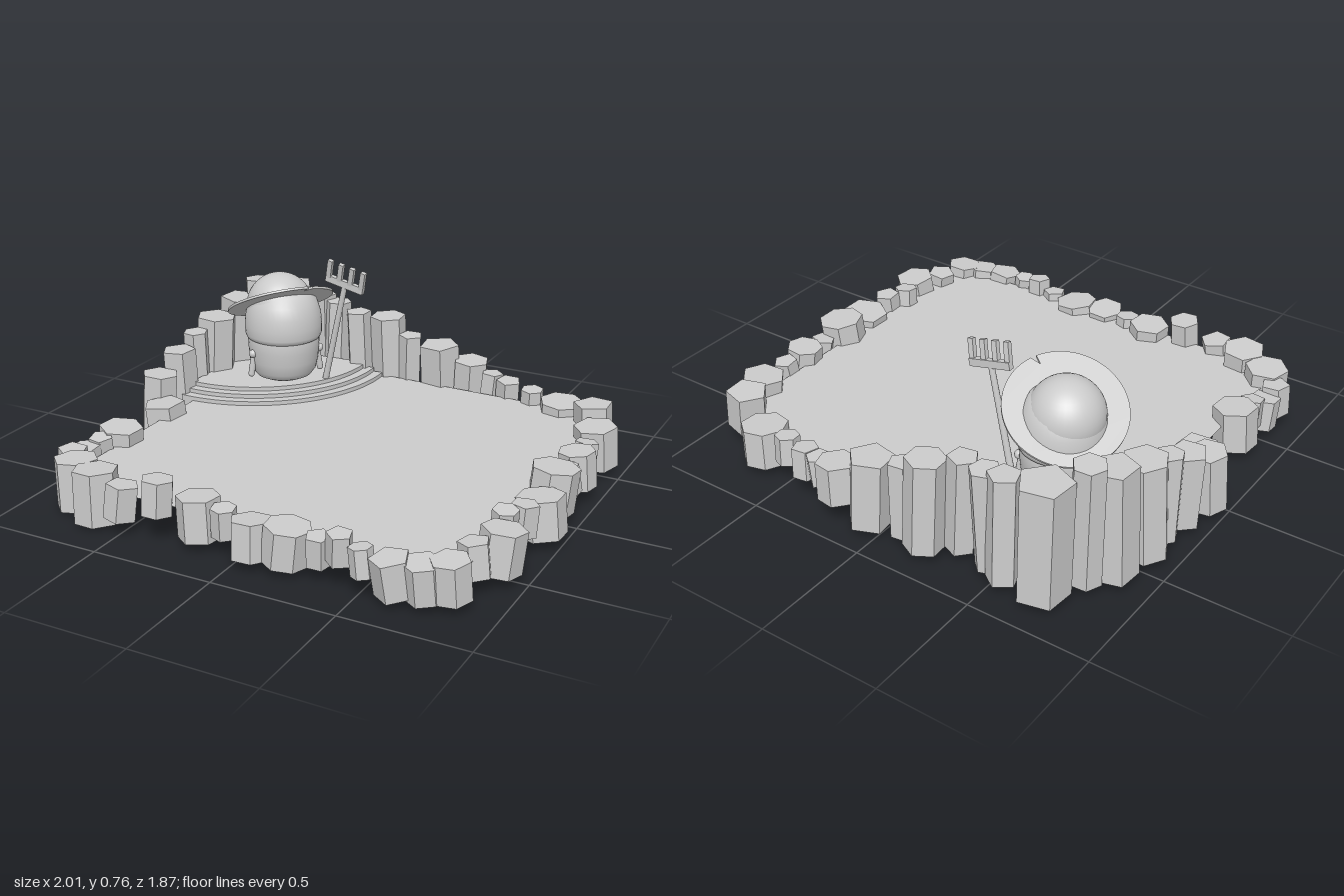
import * as THREE from 'three';
import { mergeGeometries } from 'three/addons/utils/BufferGeometryUtils.js';

const mat = new THREE.MeshStandardMaterial({ color: 0xcccccc });
const thin = new THREE.MeshStandardMaterial({ color: 0xcccccc, side: THREE.DoubleSide });
const flat = new THREE.MeshStandardMaterial({ color: 0xcccccc, side: THREE.DoubleSide, flatShading: true });
const UP = new THREE.Vector3(0, 1, 0);

function add(parent, name, geometry, material = mat, x = 0, y = 0, z = 0) {
  const mesh = new THREE.Mesh(geometry, material);
  mesh.name = name;
  mesh.position.set(x, y, z);
  parent.add(mesh);
  return mesh;
}

function seeded(seed) {
  return () => (seed = (seed * 16807) % 2147483647) / 2147483647;
}

// Border rocks: x, z, radius, top height, sides
const backRocks = [
  [-0.70, -0.82, 0.105, 0.51, 5], [-0.54, -0.83, 0.065, 0.48, 5], [-0.45, -0.82, 0.06, 0.46, 6],
  [-0.33, -0.78, 0.06, 0.44, 5], [-0.21, -0.84, 0.08, 0.42, 6], [-0.09, -0.83, 0.055, 0.35, 5],
  [0.045, -0.84, 0.09, 0.325, 5], [0.19, -0.87, 0.08, 0.265, 6], [0.30, -0.85, 0.05, 0.23, 5],
  [0.39, -0.82, 0.055, 0.22, 5], [0.51, -0.79, 0.05, 0.21, 6], [0.655, -0.765, 0.095, 0.19, 7],
];
const rightRocks = [
  [0.82, -0.68, 0.085, 0.24, 5], [0.885, -0.52, 0.09, 0.21, 6], [0.90, -0.375, 0.05, 0.2, 5],
  [0.90, -0.25, 0.075, 0.21, 7], [0.90, -0.13, 0.05, 0.19, 5], [0.90, -0.015, 0.095, 0.235, 7],
  [0.905, 0.16, 0.095, 0.19, 6], [0.90, 0.30, 0.055, 0.215, 5], [0.86, 0.39, 0.05, 0.22, 6],
  [0.905, 0.51, 0.085, 0.21, 6], [0.84, 0.63, 0.06, 0.2, 5], [0.815, 0.775, 0.075, 0.19, 6],
];
const frontRocks = [
  [0.73, 0.82, 0.07, 0.18, 6], [0.62, 0.84, 0.075, 0.18, 5], [0.505, 0.83, 0.045, 0.19, 6],
  [0.42, 0.82, 0.05, 0.215, 5], [0.33, 0.81, 0.05, 0.18, 5], [0.20, 0.79, 0.09, 0.18, 7],
  [0.055, 0.805, 0.08, 0.18, 6], [-0.07, 0.79, 0.05, 0.19, 6], [-0.195, 0.765, 0.085, 0.2, 6],
  [-0.345, 0.80, 0.065, 0.25, 6], [-0.495, 0.81, 0.065, 0.2, 5], [-0.645, 0.78, 0.09, 0.22, 6],
  [-0.785, 0.715, 0.09, 0.21, 6],
];
const leftRocks = [
  [-0.865, 0.63, 0.06, 0.2, 5], [-0.865, 0.55, 0.06, 0.18, 6], [-0.84, 0.48, 0.05, 0.2, 5],
  [-0.815, 0.375, 0.09, 0.21, 6], [-0.825, 0.06, 0.09, 0.2, 5], [-0.915, -0.055, 0.08, 0.28, 6],
  [-0.905, -0.185, 0.075, 0.35, 5], [-0.89, -0.30, 0.055, 0.4, 6], [-0.86, -0.43, 0.09, 0.44, 6],
  [-0.83, -0.59, 0.09, 0.49, 5], [-0.80, -0.70, 0.065, 0.55, 6],
];

// Prism with a closed top and an open underside, hanging down from its top centre
function rockGeometry(r, h, sides) {
  const wall = new THREE.CylinderGeometry(r, r, h, sides, 1, true).translate(0, -h / 2, 0);
  const cap = new THREE.CircleGeometry(r, sides, -Math.PI / 2).rotateX(-Math.PI / 2);
  return mergeGeometries([wall, cap]);
}

function createBorder() {
  const border = new THREE.Group();
  border.name = 'rockBorder';
  const rand = seeded(4711);
  for (const [x, z, r, top, sides] of [...backRocks, ...rightRocks, ...frontRocks, ...leftRocks]) {
    // Small low rocks are short; tall ones and the near-left corner reach the bottom
    let bottom = 0.035;
    if (top < 0.27) bottom = Math.max(0.035, top - 0.05 - 1.35 * r);
    if (x < -0.6 && z > 0.7) bottom = 0.01;
    const h = top - bottom;
    const geo = rockGeometry(r, h, sides).rotateY(rand() * 6.28);
    const rock = add(border, 'rock', geo, flat, x, top - 0.005, z);
    const tilt = 0.035 / h;
    rock.rotation.set((rand() - 0.5) * tilt, 0, (rand() - 0.5) * tilt);
  }
  return border;
}

// Quarter-round tiers in the corner, hollow underneath
function createSteps(groundY) {
  const steps = new THREE.Group();
  steps.name = 'cornerSteps';
  const base = 0.03, spread = Math.PI / 2 + 0.12;
  [0.615, 0.575, 0.535].forEach((r, i) => {
    const h = groundY + 0.018 * (i + 1) - base;
    const riser = new THREE.CylinderGeometry(r, r, h, 40, 1, true, -0.06, spread);
    add(steps, 'riser', riser, thin, -0.82, base + h / 2, -0.74);
    const tread = new THREE.CircleGeometry(r, 40, -Math.PI / 2 - 0.06, spread).rotateX(-Math.PI / 2);
    add(steps, 'tread', tread, thin, -0.82, base + h, -0.74);
  });
  return steps;
}

// Tilted hat with a small tear in the brim
function createHat() {
  const hat = new THREE.Group();
  hat.name = 'hat';
  const brim = new THREE.Shape();
  brim.absarc(0, 0, 0.232, -0.36, Math.PI * 2 - 0.46, false);
  brim.lineTo(0.175, -0.085);
  brim.closePath();
  const geo = new THREE.ExtrudeGeometry(brim, { depth: 0.01, bevelEnabled: false, curveSegments: 48 });
  geo.rotateX(-Math.PI / 2);
  add(hat, 'brim', geo, mat, 0, -0.005, 0);
  hat.quaternion.setFromUnitVectors(UP, new THREE.Vector3(-0.38, 0.868, -0.32).normalize());
  hat.position.set(-0.545, 0.54, -0.457);
  return hat;
}

function createFigure() {
  const figure = new THREE.Group();
  figure.name = 'figure';
  const lathe = (pts) => new THREE.LatheGeometry(pts.map(([r, y]) => new THREE.Vector2(r, y)), 40);

  // Rounded lower garment
  add(figure, 'lowerBody', lathe([[0, 0.2], [0.09, 0.205], [0.122, 0.22], [0.14, 0.245], [0.15, 0.29],
    [0.155, 0.34], [0.157, 0.385], [0.15, 0.395]]));
  // Upper body continuing into the head
  add(figure, 'upperBody', lathe([[0.148, 0.385], [0.161, 0.392], [0.168, 0.41], [0.169, 0.45], [0.164, 0.5],
    [0.148, 0.55], [0.12, 0.59], [0.07, 0.62], [0, 0.63]]));
  // Little arms, facing the middle of the garden
  const arms = new THREE.Group();
  arms.name = 'arms';
  arms.rotation.y = Math.PI / 4;
  for (const side of [-1, 1]) {
    const arm = add(arms, 'arm', new THREE.CapsuleGeometry(0.014, 0.08, 6, 12), mat, side * 0.15, 0.275, 0.03);
    arm.rotation.z = side * 0.15;
    add(arms, 'hand', new THREE.SphereGeometry(0.018, 14, 10), mat, side * 0.15, 0.33, 0.04);
  }
  figure.add(arms);
  figure.position.set(-0.532, 0, -0.457);
  return figure;
}

// Rake standing on its handle, tines upward
function createRake() {
  const rake = new THREE.Group();
  rake.name = 'rake';
  add(rake, 'handle', new THREE.CylinderGeometry(0.012, 0.014, 0.47, 10), mat, 0, 0.235, 0);
  add(rake, 'crossbar', new THREE.BoxGeometry(0.18, 0.03, 0.024), mat, 0, 0.465, 0);
  for (let i = 0; i < 4; i++) {
    const tine = add(rake, 'tine', new THREE.BoxGeometry(0.022, 0.085, 0.02), mat, (i - 1.5) * 0.053, 0.51, 0.008);
    tine.rotation.x = 0.15;
  }
  rake.position.set(-0.355, 0.195, -0.515);
  rake.rotation.set(0.03, 0, -0.225);
  return rake;
}

export function createModel() {
  const model = new THREE.Group();
  model.name = 'rockGarden';
  const groundY = 0.145;

  // Flat sand bed with trimmed corners
  const outline = [[-0.8, -0.66], [-0.68, -0.8], [0.72, -0.78], [0.86, -0.62], [0.86, 0.7], [0.78, 0.8],
    [-0.68, 0.8], [-0.8, 0.7]].map(([x, z]) => new THREE.Vector2(x, -z));
  const ground = new THREE.ShapeGeometry(new THREE.Shape(outline)).rotateX(-Math.PI / 2);
  add(model, 'sandBed', ground, thin, 0, groundY, 0);

  model.add(createBorder(), createSteps(groundY), createFigure(), createHat(), createRake());
  // Round crown of the hat
  add(model, 'hatCrown', new THREE.SphereGeometry(0.146, 36, 24), mat, -0.55, 0.522, -0.46);
  return model;
}
